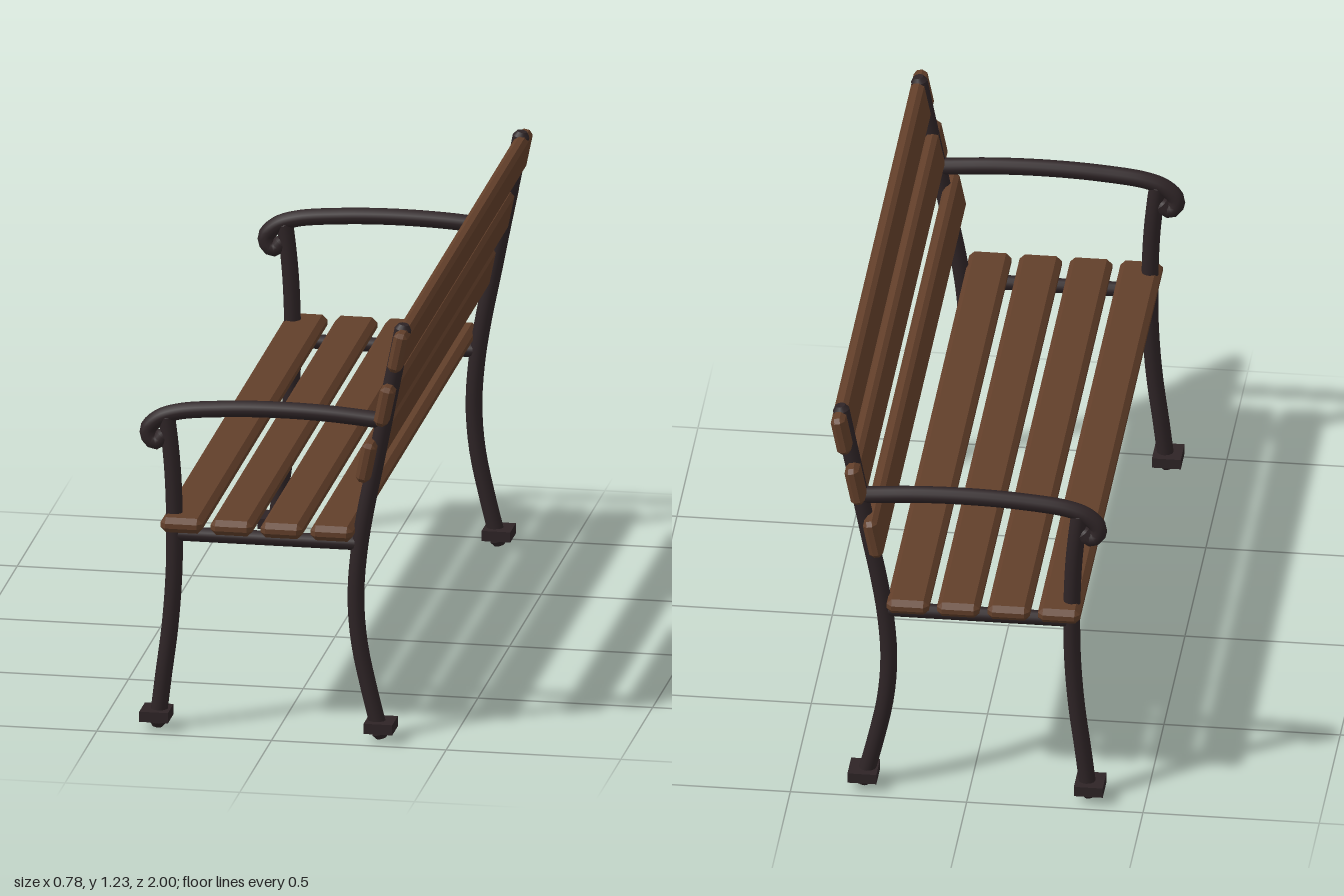
import * as THREE from 'three';
import { ConvexGeometry } from 'three/addons/geometries/ConvexGeometry.js';

const wood = new THREE.MeshStandardMaterial({ color: 0x623f2a });
wood.name = 'brown wood';
const iron = new THREE.MeshStandardMaterial({ color: 0x2e2426 });
iron.name = 'dark iron';

function add(parent, name, geometry, material, x = 0, y = 0, z = 0) {
  const mesh = new THREE.Mesh(geometry, material);
  mesh.name = name;
  mesh.position.set(x, y, z);
  parent.add(mesh);
  return mesh;
}

// Box with every edge and corner cut off
function chamferedBox(w, h, d, c) {
  const points = [];
  for (const x of [-w / 2, w / 2]) for (const y of [-h / 2, h / 2]) for (const z of [-d / 2, d / 2]) {
    const cx = c * Math.sign(x), cy = c * Math.sign(y), cz = c * Math.sign(z);
    points.push(
      new THREE.Vector3(x, y - cy, z - cz),
      new THREE.Vector3(x - cx, y, z - cz),
      new THREE.Vector3(x - cx, y - cy, z));
  }
  return new ConvexGeometry(points);
}

// Round bar through points in the side plane, with bevelled ends
function bar(parent, name, pts, radius, segments = 32) {
  const group = new THREE.Group();
  group.name = name;
  const curve = new THREE.CatmullRomCurve3(pts.map(([x, y]) => new THREE.Vector3(x, y, 0)));
  add(group, name + 'Tube', new THREE.TubeGeometry(curve, segments, radius, 12), iron);
  for (const t of [0, 1]) {
    const dir = curve.getTangent(t).multiplyScalar(t ? 1 : -1);
    const cap = add(group, name + 'End', new THREE.CylinderGeometry(radius * 0.6, radius, 0.014, 12), iron);
    cap.position.copy(curve.getPoint(t)).addScaledVector(dir, 0.007);
    cap.quaternion.setFromUnitVectors(new THREE.Vector3(0, 1, 0), dir);
  }
  parent.add(group);
}

// One iron end frame: legs, feet, seat rail and scrolled armrest
function endFrame(name, z) {
  const frame = new THREE.Group();
  frame.name = name;
  bar(frame, 'frontLeg', [[-0.338, 0.016], [-0.322, 0.15], [-0.303, 0.3], [-0.292, 0.45],
    [-0.29, 0.6], [-0.295, 0.75], [-0.305, 0.86], [-0.312, 0.915]], 0.024);
  bar(frame, 'backPost', [[0.299, 0.016], [0.268, 0.14], [0.239, 0.28], [0.229, 0.41], [0.237, 0.54],
    [0.255, 0.66], [0.287, 0.82], [0.32, 0.99], [0.352, 1.15], [0.364, 1.212]], 0.024);
  bar(frame, 'seatRail', [[-0.28, 0.573], [0.235, 0.573]], 0.021, 2);
  bar(frame, 'armrest', [[0.31, 0.938], [0.15, 0.95], [0, 0.953], [-0.15, 0.947], [-0.28, 0.932],
    [-0.335, 0.911], [-0.366, 0.876], [-0.358, 0.847], [-0.338, 0.842], [-0.322, 0.86]], 0.024, 56);
  for (const x of [-0.342, 0.3])
    add(frame, 'foot', new THREE.BoxGeometry(0.082, 0.03, 0.09), iron, x, 0.04, 0);
  frame.position.z = z;
  return frame;
}

export function createModel() {
  const bench = new THREE.Group();
  bench.name = 'bench';

  bench.add(endFrame('leftFrame', 0.93), endFrame('rightFrame', -0.93));

  // Seat slats
  for (let i = 0; i < 4; i++)
    add(bench, 'seatSlat', chamferedBox(0.12, 0.044, 2, 0.015), wood, -0.26 + i * 0.143, 0.614, 0);

  // Leaning back slats
  for (const [x, y] of [[0.267, 0.828], [0.319, 0.996], [0.358, 1.157]])
    add(bench, 'backSlat', chamferedBox(0.04, 0.117, 2, 0.012), wood, x, y, 0).rotation.z = -0.2;

  return bench;
}
